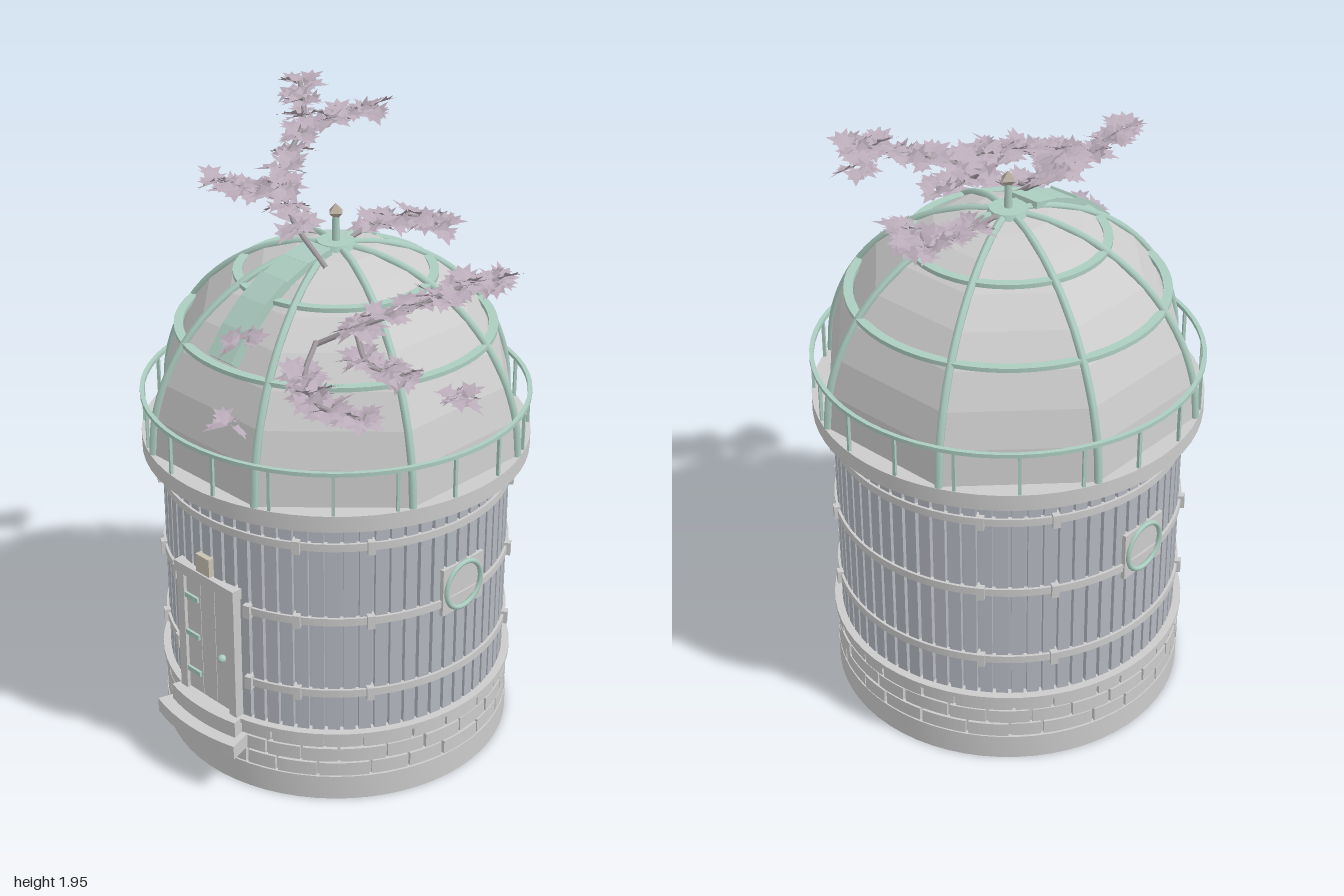
import * as THREE from 'three';
import { mergeGeometries, toCreasedNormals } from 'three/addons/utils/BufferGeometryUtils.js';

const mat = (color, extra = {}) => new THREE.MeshStandardMaterial({ color, ...extra });
const STONE = mat(0xcccccc, { side: THREE.DoubleSide });
const GREY = mat(0xcccccc);
const PLANK = mat(0xb4b8c0);
const METAL = mat(0xadcdc1);
const GLASS = mat(0xcccccc, { side: THREE.DoubleSide, flatShading: true });
const LEAF = mat(0xb9abb8, { side: THREE.DoubleSide, flatShading: true });
const BARK = mat(0xa39ca2);

let seed = 7;
const rand = () => (seed = (seed * 16807) % 2147483647) / 2147483647;

function add(parent, name, geo, material) {
  const m = new THREE.Mesh(geo, material);
  m.name = name;
  parent.add(m);
  return m;
}
// angle a runs from the front (+z) towards +x
const polar = (r, a, y) => new THREE.Vector3(r * Math.sin(a), y, r * Math.cos(a));
const box = (w, h, d, x, y, z) => new THREE.BoxGeometry(w, h, d).translate(x, y, z);
const boxAt = (w, h, d, r, a, y) => box(w, h, d, 0, y, r).rotateY(a);

// ring with a rectangular section
function ring(ri, ro, y0, y1, segs = 64) {
  const p = [[ri, y0], [ro, y0], [ro, y1], [ri, y1], [ri, y0]].map(q => new THREE.Vector2(...q));
  return toCreasedNormals(new THREE.LatheGeometry(p, segs), 0.5);
}
// curved block, part of a ring
function sector(ri, ro, a0, a1, y0, y1) {
  const s = new THREE.Shape();
  s.absarc(0, 0, ro, a0 - Math.PI / 2, a1 - Math.PI / 2, false);
  s.absarc(0, 0, ri, a1 - Math.PI / 2, a0 - Math.PI / 2, true);
  return new THREE.ExtrudeGeometry(s, { depth: y1 - y0, bevelEnabled: false, curveSegments: 4 })
    .rotateX(-Math.PI / 2).translate(0, y0, 0);
}

// dome profile: corner radius at height y
const DOME_Y = 0.99, DOME_H = 0.57, DOME_R = 0.57;
const domePoint = t => [DOME_R * Math.cos(t * Math.PI / 2), DOME_Y + DOME_H * Math.sin(t * Math.PI / 2)];
const FLAT = Math.cos(Math.PI / 8);

function buildBase(g) {
  add(g, 'plinth', ring(0.5, 0.54, 0, 0.08), STONE);
  add(g, 'brickCore', ring(0.5, 0.526, 0.08, 0.235), STONE);
  const bricks = [];
  for (let row = 0; row < 3; row++) {
    const n = 26, w = 2 * Math.PI / n, y = 0.085 + row * 0.051;
    const cuts = Array.from({ length: n }, (_, i) => (i + row * 0.5 + (rand() - 0.5) * 0.4) * w);
    for (let i = 0; i < n; i++) {
      const end = i < n - 1 ? cuts[i + 1] : cuts[0] + 2 * Math.PI;
      bricks.push(sector(0.52, 0.537 + rand() * 0.004, cuts[i] + 0.008, end - 0.008, y, y + 0.045));
    }
  }
  add(g, 'bricks', mergeGeometries(bricks), GREY);
  add(g, 'baseLedge', ring(0.5, 0.546, 0.223, 0.238), STONE);
  add(g, 'lowerStep', sector(0.5, 0.615, -0.285, 0.285, 0.14, 0.186), GREY);
  add(g, 'upperStep', sector(0.5, 0.575, -0.25, 0.25, 0.186, 0.238), GREY);
}

function buildWall(g) {
  add(g, 'wallCore', new THREE.CylinderGeometry(0.506, 0.506, 0.72, 72, 1, true).translate(0, 0.59, 0),
    mat(0xb4b8c0, { side: THREE.DoubleSide }));
  const planks = [], clamps = [];
  for (let i = 0; i < 72; i++) planks.push(boxAt(0.035, 0.705, 0.02, 0.512, i * Math.PI / 36, 0.588));
  add(g, 'wallPlanks', mergeGeometries(planks), PLANK);
  // hoops, the lower two stop at the door
  for (const y of [0.37, 0.615, 0.86]) {
    const gap = y < 0.8 ? 0.27 : 0;
    add(g, 'hoop', gap ? mergeGeometries(Array.from({ length: 16 }, (_, i) => {
      const step = (2 * Math.PI - 2 * gap) / 16;
      return sector(0.515, 0.53, gap + i * step, gap + (i + 1) * step, y - 0.012, y + 0.012);
    })) : ring(0.515, 0.53, y - 0.012, y + 0.012), GREY);
    for (let q = 0; q < 4; q++)
      for (const d of [-0.2, 0.2]) clamps.push(boxAt(0.022, 0.042, 0.03, 0.526, Math.PI / 4 + q * Math.PI / 2 + d, y));
    if (gap) for (const s of [-1, 1]) clamps.push(boxAt(0.022, 0.042, 0.03, 0.526, s * 0.3, y));
  }
  add(g, 'hoopClamps', mergeGeometries(clamps), GREY);
}

function buildDoor(g) {
  const door = new THREE.Group();
  door.name = 'door';
  g.add(door);
  const z = 0.505;
  add(door, 'doorFrame', mergeGeometries([
    box(0.03, 0.43, 0.06, -0.11, 0.45, z), box(0.03, 0.43, 0.06, 0.11, 0.45, z),
    box(0.26, 0.035, 0.07, 0, 0.66, z)]), GREY);
  add(door, 'doorPlanks', mergeGeometries([-1, 0, 1].map(i => box(0.061, 0.4, 0.04, i * 0.063, 0.442, z))), GREY);
  add(door, 'hinges', mergeGeometries([0.31, 0.44, 0.57].map(y => box(0.06, 0.016, 0.01, -0.068, y, z + 0.023))), METAL);
  add(door, 'doorKnob', new THREE.SphereGeometry(0.013, 12, 8).translate(0.068, 0.42, z + 0.03), METAL);
  add(door, 'doorLamp', box(0.058, 0.058, 0.04, 0, 0.712, 0.52), mat(0xc8c2b4));
}

function buildPortholes(g) {
  for (const s of [-1, 1]) {
    const p = new THREE.Group();
    p.name = 'porthole';
    p.position.set(s * 0.518, 0.652, 0);
    p.rotation.y = s * Math.PI / 2;
    g.add(p);
    const frame = new THREE.Shape([[-1, -1], [1, -1], [1, 1], [-1, 1]].map(([x, y]) => new THREE.Vector2(x * 0.085, y * 0.077)));
    frame.holes.push(new THREE.Path().absarc(0, 0, 0.068, 0, 2 * Math.PI, true));
    add(p, 'portholeFrame', new THREE.ExtrudeGeometry(frame, { depth: 0.03, bevelEnabled: false, curveSegments: 24 }).translate(0, 0, -0.02), GREY);
    add(p, 'portholeRim', new THREE.TorusGeometry(0.073, 0.008, 8, 32).translate(0, 0, 0.012), METAL);
    add(p, 'portholeGlass', new THREE.CircleGeometry(0.072, 32).translate(0, 0, 0.006), GREY);
  }
}

function buildGallery(g) {
  add(g, 'galleryDeck', ring(0.5, 0.58, 0.94, 0.99), STONE);
  add(g, 'handrail', ring(0.567, 0.58, 1.112, 1.124), METAL);
  const posts = [];
  for (let i = 0; i < 20; i++) posts.push(boxAt(0.009, 0.13, 0.009, 0.573, (i + 0.5) * Math.PI / 10, 1.053));
  add(g, 'railPosts', mergeGeometries(posts), METAL);
}

function buildDome(g) {
  const pts = Array.from({ length: 9 }, (_, i) => new THREE.Vector2(...domePoint(i / 8 * 0.985)));
  add(g, 'domePanels', new THREE.LatheGeometry(pts, 8, Math.PI / 8), GLASS);
  // ribs along the eight corners
  for (let k = 0; k < 8; k++) {
    const a = Math.PI / 8 + k * Math.PI / 4;
    const path = new THREE.CatmullRomCurve3(pts.map(p => polar(p.x, a, p.y)));
    add(g, 'domeRib', new THREE.TubeGeometry(path, 24, 0.012, 6), METAL);
  }
  add(g, 'lowerDomeRing', ring(0.445, 0.472, 1.315, 1.328), METAL);
  add(g, 'upperDomeRing', ring(0.27, 0.297, 1.472, 1.485), METAL);
  add(g, 'domeCap', new THREE.CylinderGeometry(0.055, 0.062, 0.02, 16).translate(0, 1.56, 0), METAL);
  add(g, 'finialPost', new THREE.CylinderGeometry(0.01, 0.012, 0.09, 8).translate(0, 1.605, 0), METAL);
  add(g, 'finialTip', new THREE.OctahedronGeometry(0.026).translate(0, 1.655, 0), mat(0xb8ada0, { flatShading: true }));
  // hatch strip following the front panel
  for (let i = 0; i < 5; i++) {
    const [r0, y0] = domePoint(0.4 + i * 0.106), [r1, y1] = domePoint(0.4 + (i + 1) * 0.106);
    const dz = (r1 - r0) * FLAT, dy = y1 - y0;
    const m = add(g, 'domeHatch', new THREE.BoxGeometry(0.1, i < 3 ? 0.035 : 0.02, Math.hypot(dz, dy) + 0.006), METAL);
    m.position.set(0, (y0 + y1) / 2 + 0.008, (r0 + r1) / 2 * FLAT + 0.01);
    m.rotation.x = Math.atan2(dy, -dz);
  }
}

// one lobed, slightly folded leaf of length 1 along +y
function leafGeometry() {
  const half = [[0.3, -0.08], [0.27, 0.17], [0.62, 0.3], [0.32, 0.48], [0.36, 0.74], [0.15, 0.68]];
  const outline = [[0, 0], ...half, [0, 1.05], ...half.slice().reverse().map(([x, y]) => [-x, y])];
  const geo = new THREE.ShapeGeometry(new THREE.Shape(outline.map(p => new THREE.Vector2(...p))));
  const pos = geo.attributes.position;
  for (let i = 0; i < pos.count; i++) pos.setZ(i, -0.3 * Math.abs(pos.getX(i)));
  return geo;
}

function buildBranches(g) {
  const branches = [
    [[0.04, 1.54, 0.1], [-0.12, 1.66, 0.09], [-0.2, 1.76, 0.03], [-0.28, 1.84, -0.12], [-0.38, 1.92, -0.2]],
    [[-0.15, 1.69, 0.08], [-0.2, 1.73, 0.18], [-0.22, 1.77, 0.26]],
    [[-0.25, 1.81, -0.06], [-0.21, 1.86, -0.2], [-0.17, 1.87, -0.29]],
    [[-0.04, 1.56, -0.06], [-0.05, 1.57, -0.2], [-0.02, 1.56, -0.33], [0.09, 1.57, -0.31]],
    [[0.2, 1.42, 0.3], [0.31, 1.49, 0.22], [0.4, 1.54, 0.1], [0.46, 1.58, 0.0], [0.53, 1.6, -0.07]],
    [[0.22, 1.44, 0.31], [0.27, 1.38, 0.4], [0.34, 1.33, 0.42], [0.41, 1.28, 0.33]],
    [[0.3, 1.47, 0.24], [0.38, 1.41, 0.27], [0.45, 1.38, 0.2]],
  ];
  const clusters = [[0.46, 1.57, -0.12], [0.02, 1.4, 0.4], [0.07, 1.2, 0.49], [0.46, 1.25, 0.0]];
  for (const b of branches) {
    const curve = new THREE.CatmullRomCurve3(b.map(p => new THREE.Vector3(...p)));
    add(g, 'branch', new THREE.TubeGeometry(curve, 12, 0.008, 5), BARK);
    const n = Math.round(curve.getLength() / 0.075);
    for (let i = 1; i <= n; i++) clusters.push(curve.getPoint(0.1 + 0.88 * i / n).toArray());
  }
  // leaves fan out around every twig point
  const leaf = leafGeometry(), leaves = [], up = new THREE.Vector3(0, 1, 0);
  clusters.forEach((c, k) => {
    const count = k === 1 || k === 2 ? 5 : 9;
    for (let i = 0; i < count; i++) {
      const a = i * 2.4 + rand(), dir = new THREE.Vector3(Math.cos(a), rand() * 0.9 - 0.45, Math.sin(a)).normalize();
      const q = new THREE.Quaternion().setFromUnitVectors(up, dir);
      const roll = new THREE.Quaternion().setFromAxisAngle(dir, Math.atan2(dir.x, dir.z) + (rand() - 0.5));
      const size = 0.055 + rand() * 0.025;
      const at = new THREE.Vector3(...c).addScaledVector(dir, 0.012);
      leaves.push(leaf.clone().applyMatrix4(new THREE.Matrix4().compose(at, roll.multiply(q), new THREE.Vector3(size, size, size))));
    }
  });
  add(g, 'leaves', mergeGeometries(leaves), LEAF);
}

export function createModel() {
  const model = new THREE.Group();
  model.name = 'domedTower';
  const tower = new THREE.Group();
  tower.name = 'tower';
  tower.position.set(-0.04, 0, -0.017);
  model.add(tower);
  [buildBase, buildWall, buildDoor, buildPortholes, buildGallery, buildDome].forEach(build => build(tower));
  const plants = new THREE.Group();
  plants.name = 'branches';
  model.add(plants);
  buildBranches(plants);
  return model;
}
